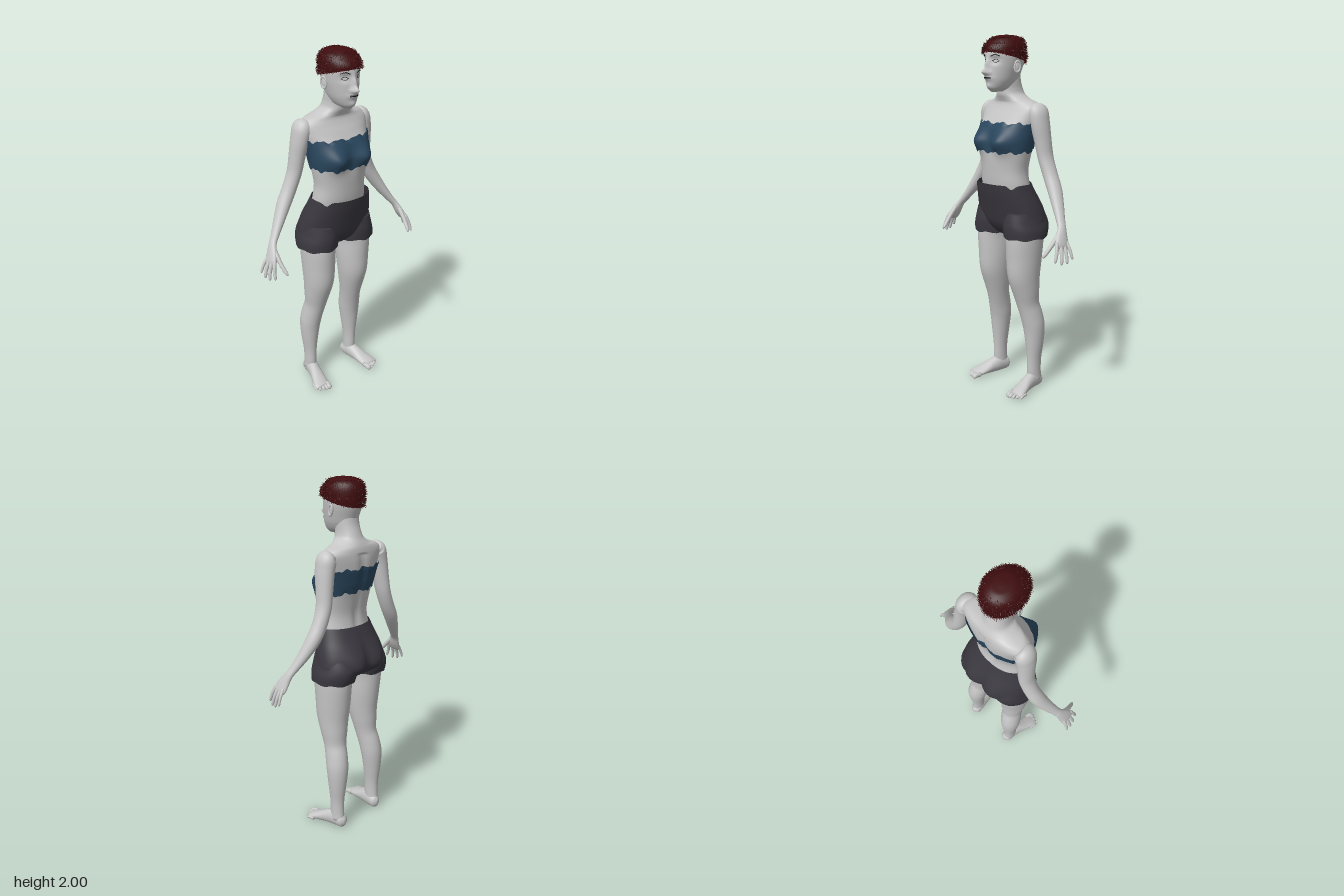
import * as THREE from 'three';

const V = (x, y, z) => new THREE.Vector3(x, y, z);
const mat = (name, color, side = THREE.FrontSide) => {
  const m = new THREE.MeshStandardMaterial({ color, side });
  m.name = name;
  return m;
};
const gauss = (d, s) => Math.exp(-((d / s) ** 2));

// Smooth skin over elliptical sections; key = [x, y, z, radiusU, radiusV]
function loft(name, material, keys, o = {}) {
  const { n = 28, steps = 5, axis, ref = V(0, 0, 1), warp, capA = true, capB = true, pow = 1 } = o;
  const path = new THREE.CatmullRomCurve3(keys.map(k => V(k[0], k[1], k[2])));
  const size = new THREE.CatmullRomCurve3(keys.map(k => V(k[3], k[4], 0)), false, 'catmullrom', 0.5);
  const rows = (keys.length - 1) * steps, pos = [], idx = [];
  const sp = c => Math.sign(c) * Math.abs(c) ** pow;
  for (let i = 0; i <= rows; i++) {
    const f = i / rows, c = path.getPoint(f), r = size.getPoint(f);
    const t = axis || path.getTangent(f);
    const v = ref.clone().addScaledVector(t, -ref.dot(t)).normalize();
    const u = v.clone().cross(t);
    for (let j = 0; j < n; j++) {
      const a = j / n * Math.PI * 2;
      const p = c.clone().addScaledVector(u, r.x * sp(Math.cos(a))).addScaledVector(v, r.y * sp(Math.sin(a)));
      if (warp) warp(p, a, f);
      pos.push(p.x, p.y, p.z);
    }
  }
  for (let i = 0; i < rows; i++) for (let j = 0; j < n; j++) {
    const a = i * n + j, b = i * n + (j + 1) % n;
    idx.push(a, b, a + n, b, b + n, a + n);
  }
  const cap = (row, flip) => {
    const mid = V(0, 0, 0), m = pos.length / 3;
    for (let j = 0; j < n; j++) mid.add(V(...pos.slice((row * n + j) * 3, (row * n + j) * 3 + 3)));
    mid.divideScalar(n);
    pos.push(mid.x, mid.y, mid.z);
    for (let j = 0; j < n; j++) {
      const a = row * n + j, b = row * n + (j + 1) % n;
      flip ? idx.push(m, b, a) : idx.push(m, a, b);
    }
  };
  if (capA) cap(0, true);
  if (capB) cap(rows, false);
  const g = new THREE.BufferGeometry();
  g.setAttribute('position', new THREE.Float32BufferAttribute(pos, 3));
  g.setIndex(idx);
  g.computeVertexNormals();
  const mesh = new THREE.Mesh(g, material);
  mesh.name = name;
  return mesh;
}

// Horizontal section [y, halfWidth, front, back] to a loft key
const slab = (grow = 0) => ([y, w, f, b]) => [0, y, (f + b) / 2, w + grow, (f - b) / 2 + grow];
const UP = V(0, 1, 0);

const TORSO = [[1.1, .16, .1, -.11], [1.2, .158, .122, -.082], [1.28, .15, .13, -.075], [1.36, .16, .135, -.088],
  [1.44, .172, .13, -.108], [1.52, .185, .108, -.12], [1.58, .2, .078, -.122], [1.62, .205, .055, -.118],
  [1.648, .17, .045, -.112], [1.665, .115, .05, -.105], [1.69, .075, .06, -.092], [1.72, .064, .062, -.08],
  [1.76, .062, .068, -.067], [1.82, .06, .06, -.06]];
const HEAD = [[1.705, .02, .12, .05], [1.725, .048, .138, -.02], [1.76, .068, .146, -.05], [1.8, .08, .147, -.065],
  [1.85, .091, .146, -.083], [1.9, .096, .146, -.092], [1.94, .092, .132, -.09], [1.97, .074, .102, -.072],
  [1.988, .04, .065, -.038], [1.992, .005, .02, .005]];
const SHORTS = [[1.215, .172, .16, -.088], [1.16, .187, .15, -.115], [1.1, .205, .135, -.145],
  [1.04, .218, .12, -.165], [.99, .222, .105, -.165], [.95, .2, .08, -.13], [.92, .1, .05, -.08]];
const ARM = [[.165, 1.62, -.045, .03, .04], [.188, 1.605, -.04, .048, .058], [.205, 1.55, -.04, .046, .058],
  [.22, 1.45, -.05, .042, .05], [.235, 1.36, -.058, .038, .046], [.27, 1.27, -.06, .038, .042],
  [.31, 1.2, -.053, .036, .042], [.36, 1.12, -.03, .028, .034], [.405, 1.055, -.005, .02, .026],
  [.43, 1.02, .01, .017, .026], [.45, .975, .03, .018, .038], [.467, .94, .042, .014, .042], [.474, .925, .046, .006, .03]];
const LEG = [[.115, .98, -.015, .1, .115], [.122, .9, -.012, .092, .116], [.121, .8, -.009, .089, .109],
  [.122, .7, -.007, .082, .1], [.126, .6, -.02, .071, .081], [.13, .52, -.033, .06, .067], [.139, .45, -.052, .06, .067],
  [.146, .38, -.065, .06, .065], [.15, .28, -.068, .049, .056], [.15, .18, -.066, .036, .046],
  [.15, .1, -.066, .033, .045], [.15, .05, -.07, .034, .045]];
const FOOT = [[.145, .042, -.125, .01, .015], [.145, .042, -.108, .032, .038], [.15, .05, -.05, .036, .05],
  [.16, .042, 0, .038, .042], [.172, .03, .05, .044, .029], [.182, .021, .09, .046, .02], [.186, .017, .115, .038, .012]];
// Knuckle and tip of each finger, thumb last: [x, y, z, tipX, tipY, tipZ, radius]
const FINGERS = [[.462, .95, .078, .48, .862, .108, .0105], [.468, .942, .056, .495, .85, .075, .0105],
  [.472, .94, .033, .503, .852, .042, .01], [.472, .948, .012, .507, .87, .008, .009], [.438, .995, .045, .425, .885, .143, .0125]];

function torsoWarp(p) {
  if (p.z > 0) p.z += .045 * gauss(Math.abs(p.x) - .092, .06) * gauss(p.y - 1.445, .06);
  else if (p.y < 1.62) p.z += .012 * gauss(p.x, .022);
}

function headWarp(p) {
  if (p.z < .04) return;
  const ax = Math.abs(p.x);
  p.z += .036 * gauss(p.x, .014) * gauss(p.y - 1.808, .018) + .02 * gauss(p.x, .012) * gauss(p.y - 1.845, .03)
    + .01 * gauss(ax - .016, .01) * gauss(p.y - 1.803, .01)
    - .014 * gauss(ax - .042, .024) * gauss(p.y - 1.868, .018) + .006 * gauss(ax - .042, .02) * gauss(p.y - 1.865, .008)
    + .01 * gauss(p.x, .028) * gauss(p.y - 1.778, .014) + .006 * gauss(p.x, .02) * gauss(p.y - 1.733, .014);
}

export function createModel() {
  const skin = mat('skin', 0xc6c6c6);
  const shortsCloth = mat('shorts cloth', 0x3a383f, THREE.DoubleSide);
  const topCloth = mat('top cloth', 0x2a475e, THREE.DoubleSide);
  const hairRed = mat('hair red', 0x3f0d0f, THREE.DoubleSide);
  const dark = mat('dark lashes', 0x171315);
  const model = new THREE.Group();
  model.name = 'standingFigure';
  const add = (...m) => model.add(...m);

  add(loft('torsoAndNeck', skin, TORSO.map(slab()), { n: 64, axis: UP, warp: torsoWarp, pow: .92 }));

  // Head and face
  const head = loft('head', skin, HEAD.map(slab()), { n: 96, steps: 9, axis: UP, warp: headWarp });
  add(head);
  const ray = new THREE.Raycaster();
  const onFace = ([x, y], lift = 0) => {
    ray.set(V(x, y, 1), V(0, 0, -1));
    const hit = ray.intersectObject(head)[0];
    return V(x, y, (hit ? hit.point.z : .12) + lift);
  };
  const stroke = (name, pts, r) => {
    const curve = new THREE.CatmullRomCurve3(pts.map(p => onFace(p)));
    const m = new THREE.Mesh(new THREE.TubeGeometry(curve, 16, r, 6), dark);
    m.name = name;
    add(m);
  };
  stroke('mouth', [[-.024, 1.777], [-.012, 1.78], [0, 1.778], [.012, 1.78], [.024, 1.777]], .0042);
  for (const s of [1, -1]) {
    stroke('eyebrow', [[s * .02, 1.888], [s * .042, 1.897], [s * .064, 1.89]], .0026);
    stroke('upperLashes', [[s * .025, 1.865], [s * .042, 1.873], [s * .06, 1.865]], .0016);
    stroke('lowerLashes', [[s * .027, 1.862], [s * .042, 1.858], [s * .058, 1.863]], .001);
    // Ear: a rim around a shallow bowl
    const ear = new THREE.Group();
    ear.name = 'ear';
    const bowl = new THREE.Mesh(new THREE.SphereGeometry(.022, 16, 12), skin);
    bowl.scale.set(.35, 1.35, .8);
    const rim = new THREE.Mesh(new THREE.TorusGeometry(.02, .005, 8, 24), skin);
    rim.rotation.y = Math.PI / 2;
    rim.scale.set(.85, 1.4, 1);
    rim.position.x = s * .005;
    ear.add(bowl, rim);
    ear.position.set(s * .092, 1.835, .022);
    ear.rotation.set(-.15, -s * .3, 0);
    add(ear);
  }

  // Cropped hair: a cap with a sloping hairline, covered in short tufts
  const hair = loft('hairCap', hairRed, [[1.87, .094, .146, -.088], ...HEAD.slice(5)].map(slab(.007)), {
    n: 72, steps: 6, axis: UP, capA: false,
    warp: p => {
      const low = Math.max(0, 1.95 - p.y) / .08;
      p.y += low * (.25 * p.z + .003) + .007 * (1 - Math.min(1, low));
    },
  });
  add(hair);
  let seed = 7;
  const rnd = () => (seed = (seed * 16807) % 2147483647) / 2147483647 - .5;
  const hp = hair.geometry.attributes.position, hn = hair.geometry.attributes.normal, tufts = [];
  for (let i = 0; i < hp.count; i++) {
    const p = V().fromBufferAttribute(hp, i), d = V().fromBufferAttribute(hn, i);
    if (p.y > 1.985) continue;
    const side = V(rnd(), rnd(), rnd()).cross(d).setLength(.002);
    const tip = p.clone().addScaledVector(d, .006 + .006 * (rnd() + .5)).add(V(rnd() * .008, rnd() * .012 - .003, rnd() * .008));
    for (const q of [p.clone().add(side), p.clone().sub(side), tip]) tufts.push(q.x, q.y, q.z);
  }
  const tuftGeo = new THREE.BufferGeometry();
  tuftGeo.setAttribute('position', new THREE.Float32BufferAttribute(tufts, 3));
  tuftGeo.computeVertexNormals();
  const tuftMesh = new THREE.Mesh(tuftGeo, hairRed);
  tuftMesh.name = 'hairTufts';
  add(tuftMesh);

  // Strapless top with ragged edges
  const sample = y => {
    const i = TORSO.findIndex(r => r[0] > y), a = TORSO[i - 1], b = TORSO[i], f = (y - a[0]) / (b[0] - a[0]);
    return a.map((v, k) => v + (b[k] - v) * f);
  };
  const band = Array.from({ length: 9 }, (_, i) => slab(.009)(sample(1.387 + i * .0195)));
  add(loft('straplessTop', topCloth, band, {
    n: 96, steps: 3, axis: UP, capA: false, capB: false, pow: .92,
    warp: (p, a, f) => {
      torsoWarp(p);
      const edge = Math.max(0, Math.abs(f - .5) * 2 - .7) / .3;
      p.y += edge * (.006 * Math.sin(11 * a) + .004 * Math.sin(23 * a + 1));
      if (p.z < 0) p.y += .022 * (1 - f) * Math.min(1, -p.z / .08);
    },
  }));

  // Shorts: hips with an open waist, then two open legs
  add(loft('shortsHips', shortsCloth, SHORTS.map(slab()), {
    n: 72, axis: UP.clone().negate(), capA: false, pow: .92,
    warp: (p, a, f) => {
      const ax = Math.abs(p.x);
      if (p.z < 0) {
        p.z -= .022 * gauss(ax - .085, .06) * gauss(p.y - 1.02, .08);
        p.z += .012 * gauss(p.x, .02) * gauss(p.y - 1.02, .12);
      } else if (f < .1) p.y -= .022 * gauss(ax - .145, .014) * (1 - f / .1);
    },
  }));

  for (const s of [1, -1]) {
    const flip = keys => keys.map(([x, ...r]) => [s * x, ...r]);
    add(loft('shortsLeg', shortsCloth,
      flip([[.112, 1.06, -.015, .098, .12], [.117, 1, -.022, .108, .138], [.122, .96, -.02, .114, .137], [.125, .917, -.015, .113, .128]]),
      { n: 40, axis: UP.clone().negate(), capB: false, warp: (p, a, f) => { p.y += f * .004 * Math.sin(7 * a); } }));
    add(loft('leg', skin, flip(LEG), { n: 36 }));

    // Foot and toes
    const ground = p => { p.y = Math.max(p.y, .001); };
    add(loft('foot', skin, flip(FOOT), { axis: V(0, 0, 1), ref: UP, warp: ground }));
    for (let i = 0; i < 5; i++) {
      const x = .152 + i * .0185, z = .148 - i * i * .0022, r = i ? .0105 - i * .0006 : .0145;
      add(loft('toe', skin, flip([[x - .004, .018, z - .05, r, r], [x, .017, z - .022, r, r], [x + .002, .013, z - .007, r, r * .9], [x + .002, .011, z, r * .3, r * .3]]),
        { n: 12, axis: V(0, 0, 1), ref: UP, warp: ground }));
    }

    // Arm, palm and fingers
    add(loft('armAndPalm', skin, flip(ARM), { n: 32 }));
    for (const [x, y, z, tx, ty, tz, r] of FINGERS) {
      const at = (f, k) => [x + (tx - x) * f + .005 * Math.sin(f * Math.PI), y + (ty - y) * f, z + (tz - z) * f, r * k, r * k];
      add(loft('finger', skin, flip([at(-.12, .9), at(.2, 1), at(.5, .9), at(.85, .8), at(.97, .5), at(1, .1)]), { n: 12, steps: 3 }));
    }
  }
  return model;
}
